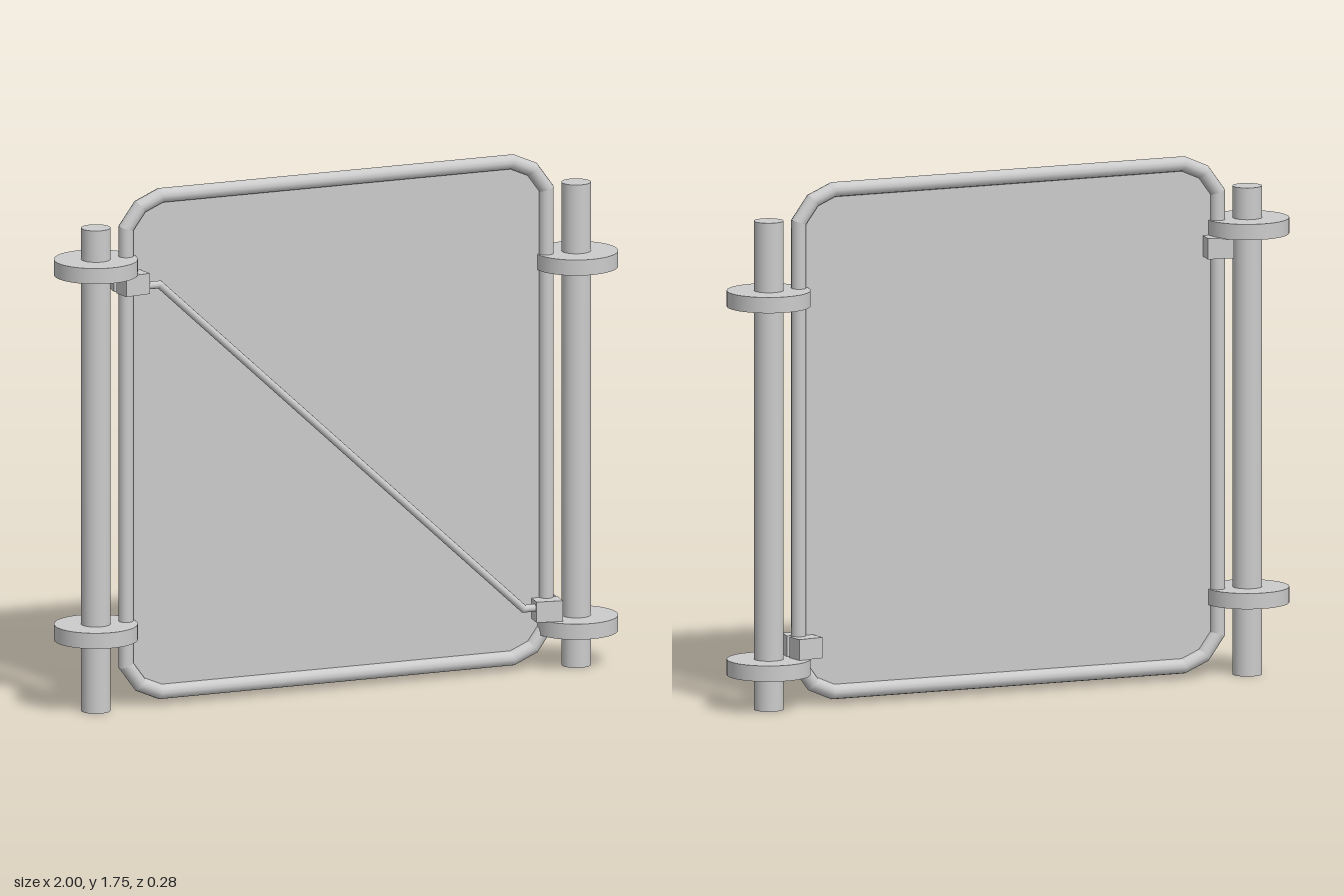
import * as THREE from 'three';

const grey = new THREE.MeshStandardMaterial({ color: 0xcccccc });
const thin = new THREE.MeshStandardMaterial({ color: 0xcccccc, side: THREE.DoubleSide });

function add(parent, name, geometry, x = 0, y = 0, z = 0, material = grey) {
  const mesh = new THREE.Mesh(geometry, material);
  mesh.name = name;
  mesh.position.set(x, y, z);
  parent.add(mesh);
  return mesh;
}

// Round bar along a path in the xy plane, with mitred bends
function mitredBar(points, radius, closed, sides = 12) {
  const n = points.length;
  const segments = closed ? n : n - 1;
  const direction = (i) => {
    const k = (i + n) % n;
    return points[(k + 1) % n].clone().sub(points[k]).normalize();
  };
  const miter = (i) => {
    const before = direction(closed || i > 0 ? i - 1 : 0);
    const after = direction(closed || i < n - 1 ? i : n - 2);
    const m = before.clone().add(after).normalize();
    const scale = 1 / m.dot(after);
    return new THREE.Vector2(-m.y * scale, m.x * scale);
  };
  const position = [], normal = [], index = [];
  for (let s = 0; s < segments; s++) {
    const d = direction(s);
    const base = position.length / 3;
    for (const i of [s, (s + 1) % n]) {
      const p = points[i], m = miter(i);
      for (let j = 0; j <= sides; j++) {
        const a = (j / sides) * Math.PI * 2;
        const c = Math.cos(a), z = Math.sin(a);
        position.push(p.x + m.x * c * radius, p.y + m.y * c * radius, z * radius);
        normal.push(-d.y * c, d.x * c, z);
      }
    }
    for (let j = 0; j < sides; j++) {
      const a = base + j, b = a + sides + 1;
      index.push(a, a + 1, b + 1, a, b + 1, b);
    }
  }
  const geometry = new THREE.BufferGeometry();
  geometry.setAttribute('position', new THREE.Float32BufferAttribute(position, 3));
  geometry.setAttribute('normal', new THREE.Float32BufferAttribute(normal, 3));
  geometry.setIndex(index);
  return geometry;
}

export function createModel() {
  const gate = new THREE.Group();
  gate.name = 'gate';

  // Posts, each with two round collars
  const postGeometry = new THREE.CylinderGeometry(0.049, 0.049, 1.64, 32);
  const collarGeometry = new THREE.CylinderGeometry(0.139, 0.139, 0.053, 48);
  for (const [side, name, heights] of [
    [-1, 'right', [0.268, 1.507]],
    [1, 'left', [0.143, 1.38]],
  ]) {
    add(gate, name + 'Post', postGeometry, side * 0.861, 0.82);
    for (const y of heights) add(gate, name + 'Collar', collarGeometry, side * 0.861, y);
  }

  // Frame outline: the same cut corner mirrored into four
  const middle = 0.886;
  const corner = [[0.753, 0.742], [0.703, 0.811], [0.63, 0.843]];
  const outline = [];
  for (const [sx, sy] of [[1, 1], [-1, 1], [-1, -1], [1, -1]]) {
    const part = corner.map(([x, y]) => new THREE.Vector2(sx * x, middle + sy * y));
    outline.push(...(sx * sy > 0 ? part : part.reverse()));
  }
  add(gate, 'frame', mitredBar(outline, 0.025, true));
  add(gate, 'panel', new THREE.ShapeGeometry(new THREE.Shape(outline)), 0, 0, 0, thin);

  // Diagonal brace across the front, bent flat at both ends
  const brace = [[-0.73, 1.437], [-0.65, 1.437], [0.655, 0.217], [0.73, 0.217]];
  add(gate, 'diagonalBrace',
    mitredBar(brace.map(([x, y]) => new THREE.Vector2(x, y)), 0.013, false), 0, 0, 0.042);

  // Clamp blocks, in angled pairs gripping the frame front and back
  const clampGeometry = new THREE.BoxGeometry(0.09, 0.07, 0.064);
  for (const [side, y] of [[-1, 1.448], [1, 0.205]]) {
    for (const face of [-1, 1]) {
      const clamp = add(gate, face > 0 ? 'frontClamp' : 'backClamp', clampGeometry,
        side * 0.742, y, face * 0.036);
      clamp.rotation.y = -side * face * 0.14;
    }
  }
  return gate;
}
